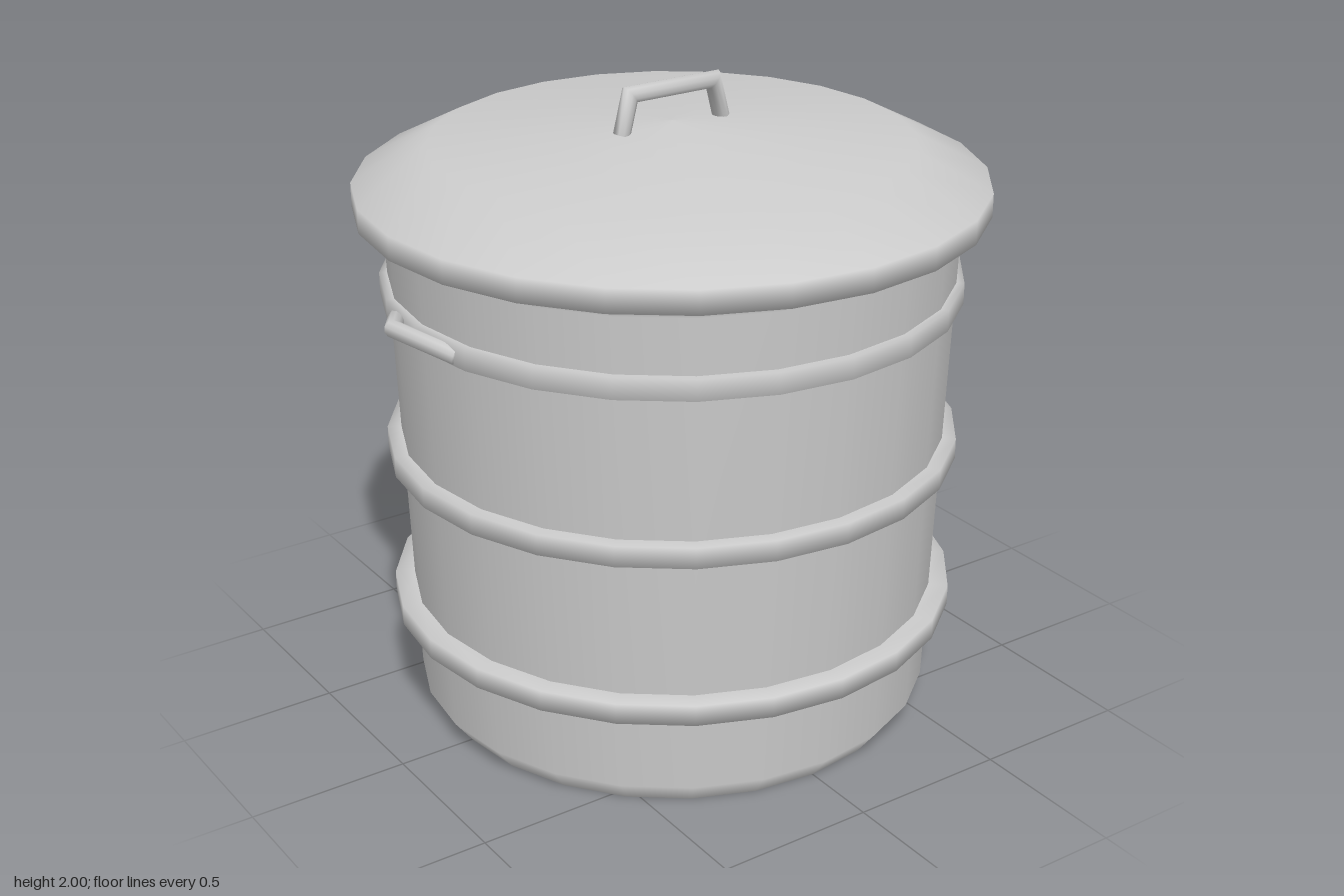
import * as THREE from 'three';

const SEGMENTS = 24;
const material = new THREE.MeshStandardMaterial({ color: 0xcccccc, side: THREE.DoubleSide });

function addMesh(group, name, geometry) {
  const mesh = new THREE.Mesh(geometry, material);
  mesh.name = name;
  group.add(mesh);
  return mesh;
}

// Round shell from [radius, height] pairs, listed upwards
function turned(profile) {
  return new THREE.LatheGeometry(profile.map(([r, y]) => new THREE.Vector2(r, y)), SEGMENTS);
}

// Round bar along straight pieces with mitred corners; the path lies in the plane across `normal`
function bentBar(path, radius, normal, sides = 10) {
  const positions = [], indices = [];
  const dirs = path.slice(1).map((p, i) => p.clone().sub(path[i]).normalize());
  path.forEach((p, i) => {
    const before = dirs[Math.max(i - 1, 0)], after = dirs[Math.min(i, dirs.length - 1)];
    const tangent = before.clone().add(after).normalize();
    const across = new THREE.Vector3().crossVectors(normal, tangent);
    const mitre = 1 / tangent.dot(after);
    for (let s = 0; s < sides; s++) {
      const a = (s / sides) * Math.PI * 2;
      const v = p.clone()
        .addScaledVector(across, Math.cos(a) * radius * mitre)
        .addScaledVector(normal, -Math.sin(a) * radius);
      positions.push(v.x, v.y, v.z);
      if (i === 0) continue;
      const n = (s + 1) % sides, lo = (i - 1) * sides, hi = i * sides;
      indices.push(lo + s, lo + n, hi + n, lo + s, hi + n, hi + s);
    }
  });
  // End caps
  const last = (path.length - 1) * sides;
  for (let s = 1; s < sides - 1; s++) {
    indices.push(0, s + 1, s, last, last + s, last + s + 1);
  }
  const geometry = new THREE.BufferGeometry();
  geometry.setAttribute('position', new THREE.Float32BufferAttribute(positions, 3));
  geometry.setIndex(indices);
  geometry.computeVertexNormals();
  return geometry;
}

export function createModel() {
  const group = new THREE.Group();
  group.name = 'liddedBin';

  // Tapered wall with a tucked-in foot and flared rim
  addMesh(group, 'wall', turned([[0.755, 0], [0.812, 0.075], [0.867, 1.59], [0.9, 1.635]]));

  // Raised floor inside the open foot
  const floor = addMesh(group, 'floor', new THREE.CircleGeometry(0.82, SEGMENTS));
  floor.rotation.x = Math.PI / 2;
  floor.position.y = 0.3;

  // Three hoops around the wall
  for (const y of [0.335, 0.845, 1.355]) {
    const inner = 0.81 + y * 0.036;
    addMesh(group, 'hoop', turned([[inner, y], [0.885, y], [0.885, y + 0.065], [inner, y + 0.065]]));
  }

  // Shallow conical lid with a sloping shoulder and short skirt
  addMesh(group, 'lid', turned([
    [0.88, 1.635], [0.955, 1.632], [0.955, 1.705], [0.73, 1.82], [0, 1.875],
  ]));

  // Lid handle
  const lidPath = [[-0.178, 1.86], [-0.148, 1.976], [0.148, 1.976], [0.178, 1.86]]
    .map(([x, y]) => new THREE.Vector3(x, y, 0));
  addMesh(group, 'lidHandle', bentBar(lidPath, 0.026, new THREE.Vector3(0, 0, 1)));

  // Side handles, angled outwards and upwards
  for (const side of [1, -1]) {
    const path = [[0.85, 1.38, 0.175], [0.952, 1.427, 0], [0.85, 1.38, -0.175]]
      .map(([x, y, z]) => new THREE.Vector3(side * x, y, z));
    const normal = new THREE.Vector3()
      .crossVectors(path[1].clone().sub(path[0]), path[2].clone().sub(path[1])).normalize();
    addMesh(group, side > 0 ? 'leftHandle' : 'rightHandle', bentBar(path, 0.026, normal));
  }

  return group;
}
